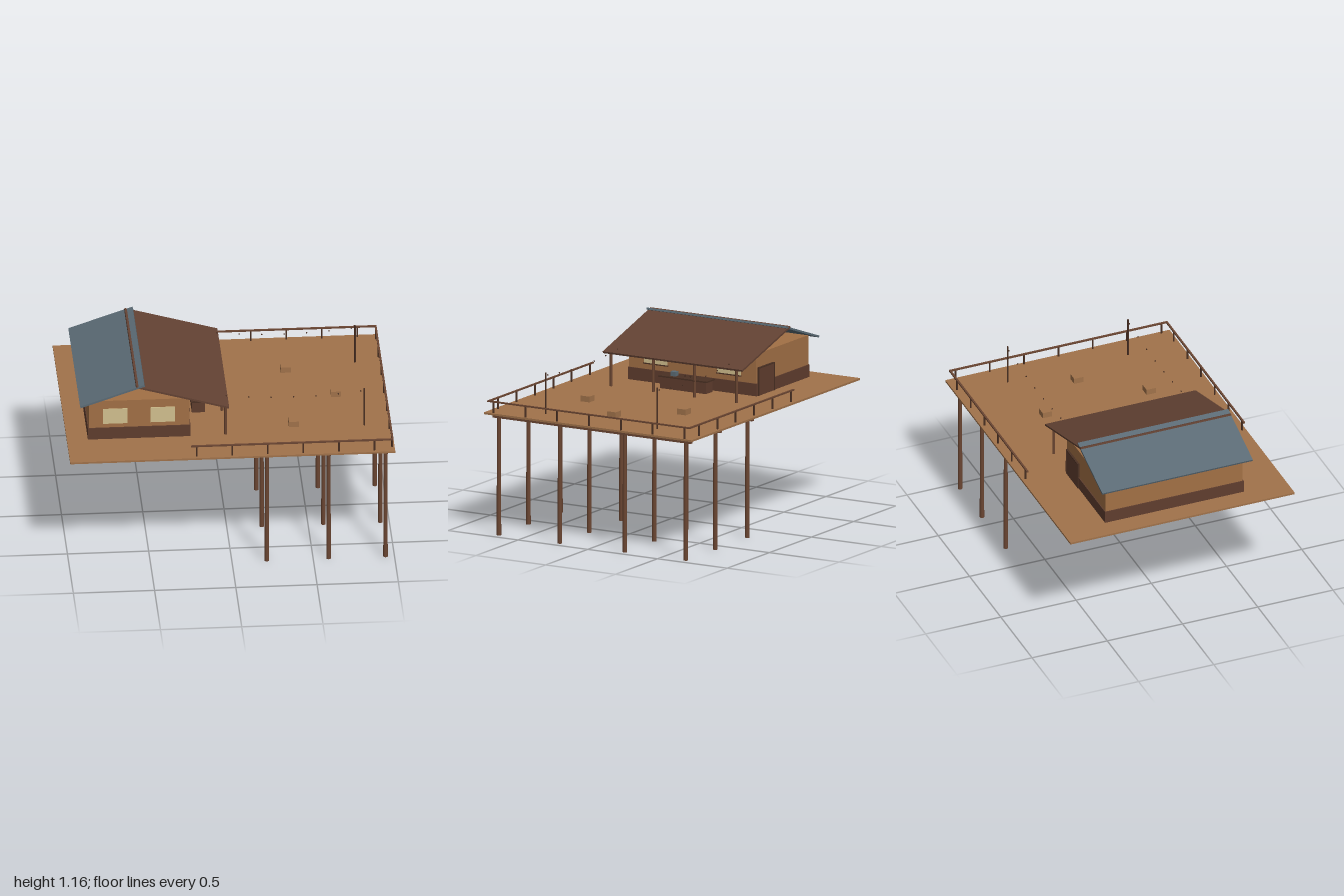
import * as THREE from 'three';

const mat = (name, color) => {
  const m = new THREE.MeshStandardMaterial({ color });
  m.name = name;
  return m;
};

export function createModel() {
  const model = new THREE.Group();
  model.name = 'cabinOnStilts';

  const deckWood = mat('deckWood', 0xa0724a);
  const wallWood = mat('wallWood', 0xa27045);
  const brownWood = mat('brownWood', 0x6b4632);
  const darkWood = mat('darkWood', 0x4a3023);
  const skirtWood = mat('skirtWood', 0x5f3d2e);
  const roofBrown = mat('roofBrown', 0x634233);
  const slate = mat('slate', 0x5b6b75);
  const pane = mat('windowPane', 0xd2c08e);

  const group = (name) => {
    const g = new THREE.Group();
    g.name = name;
    model.add(g);
    return g;
  };
  // Box given by its minimum and maximum on each axis
  const box = (parent, name, x0, x1, y0, y1, z0, z1, m) => {
    const mesh = new THREE.Mesh(new THREE.BoxGeometry(x1 - x0, y1 - y0, z1 - z0), m);
    mesh.position.set((x0 + x1) / 2, (y0 + y1) / 2, (z0 + z1) / 2);
    mesh.name = name;
    parent.add(mesh);
    return mesh;
  };
  // Upright round post
  const post = (parent, name, x, z, y0, y1, rTop, rBottom, m) => {
    const mesh = new THREE.Mesh(new THREE.CylinderGeometry(rTop, rBottom, y1 - y0, 10), m);
    mesh.position.set(x, (y0 + y1) / 2, z);
    mesh.name = name;
    parent.add(mesh);
  };

  const FLOOR = 0.775;

  // Deck with its stilts and cross beams
  box(model, 'deck', -1, 1, 0.763, FLOOR, -0.745, 0.745, deckWood);
  const stilts = group('stilts');
  for (const x of [0.215, 0.595, 0.945]) {
    box(stilts, 'beam', x - 0.011, x + 0.011, 0.738, 0.763, -0.71, 0.71, brownWood);
    for (const z of [-0.67, -0.233, 0.233, 0.67])
      post(stilts, 'stilt', x, z, 0, 0.745, 0.012, 0.0145, brownWood);
  }

  // Cabin walls and base
  const cabin = group('cabin');
  box(cabin, 'walls', -0.865, -0.245, FLOOR, 1.038, -0.455, 0.455, wallWood);
  box(cabin, 'wallBase', -0.871, -0.239, FLOOR, 0.853, -0.461, 0.461, skirtWood);

  // Windows on the front and on the porch side
  for (const x of [-0.703, -0.41])
    box(cabin, 'frontWindow', x - 0.075, x + 0.075, 0.88, 0.983, 0.454, 0.459, pane);
  for (const z of [-0.262, 0.262]) {
    box(cabin, 'porchWindow', -0.246, -0.24, 0.893, 0.985, z - 0.083, z + 0.083, pane);
    box(cabin, 'windowSill', -0.246, -0.234, 0.887, 0.893, z - 0.088, z + 0.088, darkWood);
  }

  // Back door
  box(cabin, 'door', -0.44, -0.265, FLOOR, 0.945, -0.466, -0.454, skirtWood);
  box(cabin, 'doorFrameTop', -0.446, -0.259, 0.945, 0.952, -0.468, -0.454, darkWood);
  for (const x of [-0.443, -0.262])
    box(cabin, 'doorFrameSide', x - 0.003, x + 0.003, FLOOR, 0.945, -0.468, -0.454, darkWood);

  // Two roof slabs that cross at the ridge
  const slab = (name, xa, ya, xb, yb, m) => {
    const len = Math.hypot(xb - xa, yb - ya);
    const mesh = new THREE.Mesh(new THREE.BoxGeometry(len, 0.012, 1), m);
    mesh.position.set((xa + xb) / 2, (ya + yb) / 2, 0);
    mesh.rotation.z = Math.atan2(yb - ya, xb - xa);
    mesh.name = name;
    cabin.add(mesh);
  };
  slab('slateRoof', -0.92, 1.023, -0.525, 1.159, slate);
  slab('porchRoof', -0.577, 1.151, -0.006, 0.985, roofBrown);

  // Porch posts
  const porch = group('porch');
  for (const z of [-0.45, -0.148, 0.148, 0.45])
    post(porch, 'porchPost', -0.023, z, FLOOR, 0.988, 0.009, 0.009, brownWood);

  // Serving counter with a small appliance and cups
  const counter = group('counter');
  box(counter, 'counterBody', -0.21, -0.13, FLOOR, 0.847, -0.165, 0.165, skirtWood);
  box(counter, 'counterTop', -0.218, -0.122, 0.847, 0.856, -0.175, 0.175, darkWood);
  box(counter, 'appliance', -0.18, -0.145, 0.856, 0.884, 0.063, 0.1, slate);
  for (const z of [0.006, -0.033, -0.072])
    post(counter, 'cup', -0.165, z, 0.856, 0.869, 0.005, 0.004, darkWood);

  // Railing around the open deck
  const railing = group('railing');
  for (const s of [-1, 1]) {
    box(railing, 'sideRail', -0.255, 0.991, 0.841, 0.85, s * 0.72 - 0.006, s * 0.72 + 0.006, brownWood);
    for (let i = 0; i < 6; i++)
      post(railing, 'railPost', -0.22 + i * 0.2185, s * 0.72, FLOOR, 0.843, 0.006, 0.006, darkWood);
  }
  box(railing, 'endRail', 0.979, 0.991, 0.841, 0.85, -0.714, 0.714, brownWood);
  for (let i = -3; i <= 3; i++)
    post(railing, 'railPost', 0.985, i * 0.228, FLOOR, 0.843, 0.006, 0.006, darkWood);

  // Low seats
  const seats = group('seats');
  for (const [x, z] of [[0.402, -0.328], [0.688, 0], [0.402, 0.362]])
    box(seats, 'seat', x - 0.031, x + 0.031, FLOOR, 0.811, z - 0.031, z + 0.031, deckWood);

  // Light poles and sagging rows of bulbs
  const lights = group('lights');
  const bulbShape = new THREE.SphereGeometry(0.0045, 8, 6);
  for (const z of [-0.4, 0.4]) {
    post(lights, 'lightPole', 0.835, z, FLOOR, 1.033, 0.005, 0.005, darkWood);
    for (let i = 0; i < 7; i++) {
      const t = (i - 3) / 3;
      const bulb = new THREE.Mesh(bulbShape, darkWood);
      bulb.position.set(-0.015 + i * 0.138, 0.99 + 0.025 * t * t, z);
      bulb.name = 'bulb';
      lights.add(bulb);
    }
  }

  return model;
}
